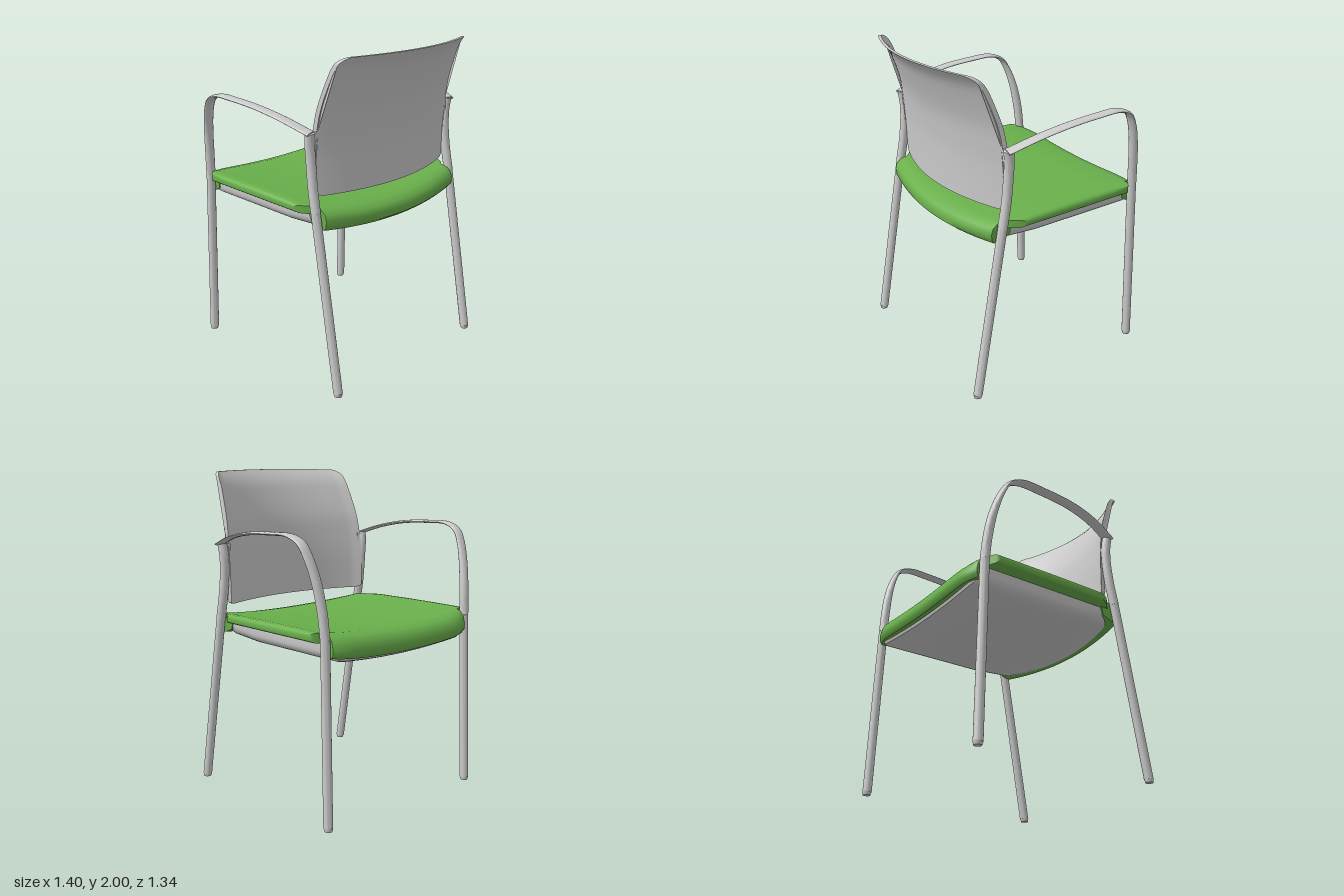
import * as THREE from 'three';
import { toCreasedNormals } from 'three/addons/utils/BufferGeometryUtils.js';

const V = (x, y, z) => new THREE.Vector3(x, y, z);
const clamp = THREE.MathUtils.clamp;
const grey = new THREE.MeshStandardMaterial({ color: 0xcccccc });
const green = new THREE.MeshStandardMaterial({ color: 0x6ab04c });

// Skin over closed loops of points, capped at both ends
function loft(sections, crease = 0.7) {
  const n = sections[0].length, m = sections.length, pos = [], idx = [];
  sections.forEach(s => s.forEach(p => pos.push(p.x, p.y, p.z)));
  for (let i = 0; i < m - 1; i++) {
    for (let j = 0; j < n; j++) {
      const a = i * n + j, d = i * n + (j + 1) % n;
      idx.push(a, a + n, d + n, a, d + n, d);
    }
  }
  for (const [i, flip] of [[0, false], [m - 1, true]]) {
    const c = pos.length / 3;
    const mid = sections[i].reduce((s, p) => s.add(p), V(0, 0, 0)).divideScalar(n);
    pos.push(mid.x, mid.y, mid.z);
    for (let j = 0; j < n; j++) {
      const a = i * n + j, b = i * n + (j + 1) % n;
      if (flip) idx.push(c, b, a); else idx.push(c, a, b);
    }
  }
  const g = new THREE.BufferGeometry();
  g.setAttribute('position', new THREE.Float32BufferAttribute(pos, 3));
  g.setIndex(idx);
  return toCreasedNormals(g, crease);
}

// Elliptical bar along a smooth path; size(t) gives [half width in x, half thickness]
function bar(points, size, steps) {
  const curve = new THREE.CatmullRomCurve3(points), sections = [];
  for (let i = 0; i <= steps; i++) {
    const t = i / steps, P = curve.getPointAt(t), T = curve.getTangentAt(t);
    const S = V(1, 0, 0).addScaledVector(T, -T.x).normalize();
    const N = S.clone().cross(T);
    const [w, h] = size(t);
    sections.push(Array.from({ length: 20 }, (_, k) => {
      const a = k / 20 * Math.PI * 2;
      return P.clone().addScaledVector(S, w * Math.cos(a)).addScaledVector(N, h * Math.sin(a));
    }));
  }
  return loft(sections);
}

// The seat sags towards its middle
const dip = x => 0.035 * Math.max(0, 1 - (x / 0.6) ** 2);

// Cushion: a thin slab rolled down at both ends, with narrower rolls between the legs
function cushionGeometry() {
  const profile = [
    [0.4, 1.128], [0.2, 1.136], [-0.1, 1.14], [-0.4, 1.14], [-0.56, 1.138], [-0.62, 1.125],
    [-0.655, 1.095], [-0.67, 1.05], [-0.668, 1.02], [-0.65, 1.0], [-0.6, 1.0], [-0.56, 1.02],
    [-0.55, 1.08], [0.3, 1.08], [0.33, 1.03], [0.42, 1.005], [0.49, 1.0], [0.515, 1.02],
    [0.522, 1.06], [0.505, 1.095], [0.46, 1.118]];
  const xs = [];
  for (let i = -16; i <= 16; i++) xs.push(i / 16 * 0.565);
  const roll = x => profile.map(([z, y]) => {
    const f = Math.abs(x / 0.565);
    if (z > 0.3) z -= 0.07 * f * f * (z - 0.3) / 0.2;
    if (z < -0.5) z += 0.05 * f ** 8 * (-0.5 - z) / 0.17;
    return V(x, y - dip(x), z);
  });
  // [x, height scale, front limit, rear limit] of the side flanges
  const rim = [[0.57, 1, -0.55, 0.35], [0.6, 1, -0.545, 0.32], [0.625, 0.95, -0.53, 0.28],
    [0.636, 0.7, -0.52, 0.26], [0.641, 0.3, -0.51, 0.25]];
  const flange = s => ([x, k, z0, z1]) => profile.map(([z, y]) =>
    V(s * x, 1.11 + (Math.max(y, 1.08) - 1.11) * k - dip(x), clamp(z, z0, z1)));
  return loft([...[...rim].reverse().map(flange(-1)), ...xs.map(roll), ...rim.map(flange(1))]);
}

// Shallow pan under the cushion with rounded edges
function panGeometry() {
  const sections = [];
  for (let i = 0; i <= 32; i++) {
    const u = -Math.cos(i / 32 * Math.PI), x = 0.56 * u;
    const e = Math.max(0, (Math.abs(x) - 0.48) / 0.08);
    const r = 1 - Math.sqrt(Math.max(0, 1 - e * e));
    const y0 = 0.975 - dip(x) + 0.055 * r, y1 = 1.09 - dip(x);
    const z0 = -0.625 + 0.07 * r, z1 = 0.48 - 0.1 * u * u - 0.06 * r;
    sections.push([[z1, y1], [z0, y1], [z0, y0 + 0.03], [z0 + 0.01, y0 + 0.008], [z0 + 0.03, y0],
      [0.1, y0], [z1 - 0.05, y0 + 0.018], [z1 - 0.01, y0 + 0.03], [z1, y0 + 0.05]]
      .map(([z, y]) => V(x, y, z)));
  }
  return loft(sections);
}

// Backrest: thin shell, hollow across its width and flaring away at the top
function backrestGeometry() {
  const spine = new THREE.SplineCurve([[1.18, 0.47], [1.4, 0.476], [1.55, 0.49], [1.7, 0.518],
    [1.88, 0.585], [1.95, 0.625], [2, 0.67]].map(p => new THREE.Vector2(...p)));
  const line = spine.getPoints(36);
  const zAt = y => {
    const k = clamp(line.findIndex(p => p.x >= y), 1, 36), a = line[k - 1], b = line[k];
    return a.y + (b.y - a.y) * (y - a.x) / (b.x - a.x);
  };
  const width = y => 0.565 - 0.045 * clamp((y - 1.5) / 0.5, 0, 1) ** 1.3;
  const sections = [], rows = 28;
  for (let i = 0; i <= 48; i++) {
    const u = Math.sin((i / 24 - 1) * Math.PI / 2);
    const e = Math.max(0, (Math.abs(u) - 0.9) / 0.1);
    const corner = 1 - Math.sqrt(Math.max(0, 1 - e * e));
    const yTop = 1.999 - 0.008 * u * u - 0.05 * corner, yBot = 1.18 + 0.02 * corner;
    const loop = [];
    const add = (v, thick) => {
      const y = yBot + (yTop - yBot) * v;
      loop.push(V(u * width(y), y, zAt(y) - 0.125 * u * u - thick));
    };
    for (let k = rows; k >= 0; k--) add(k / rows, 0.02 + 0.012 * e);
    for (let k = 0; k <= rows; k++) add(k / rows, 0);
    sections.push(loop);
  }
  return loft(sections);
}

export function createModel() {
  const model = new THREE.Group();
  const add = (name, geometry, material = grey) => {
    const mesh = new THREE.Mesh(geometry, material);
    mesh.name = name;
    model.add(mesh);
  };
  add('seatCushion', cushionGeometry(), green);
  add('seatPan', panGeometry());
  add('backrest', backrestGeometry());

  const round = r => () => [r, r];
  for (const [side, s] of [['left', 1], ['right', -1]]) {
    const path = pts => pts.map(([x, y, z]) => V(s * x, y, z));

    // Straight legs with small glides
    const legs = { backrestLeg: [[0.603, 0.02, 0.573], [0.594, 1.1, 0.387]],
      seatEdgeLeg: [[0.603, 0.02, -0.62], [0.594, 1.1, -0.587]] };
    for (const [name, pts] of Object.entries(legs)) {
      add(side + name, bar(path(pts), round(0.028), 1));
      const glide = new THREE.CylinderGeometry(0.027, 0.023, 0.022, 20);
      glide.translate(s * pts[0][0], 0.011, pts[0][2] + Math.sign(pts[0][2]) * 0.002);
      add(side + name + 'Glide', glide);
    }

    // Post carrying the backrest
    add(side + 'backrestPost', bar(path([[0.594, 1.1, 0.387], [0.59, 1.25, 0.36],
      [0.588, 1.4, 0.345], [0.593, 1.5, 0.343], [0.598, 1.565, 0.352]]), round(0.029), 16));
    const bracket = new THREE.BoxGeometry(0.05, 0.07, 0.025);
    bracket.translate(s * 0.572, 1.525, 0.35);
    add(side + 'backrestBracket', bracket);

    // Armrest: round upright flattening into a strip
    add(side + 'armrest', bar(path([[0.594, 1.1, -0.587], [0.603, 1.25, -0.575],
      [0.622, 1.42, -0.548], [0.642, 1.55, -0.507], [0.653, 1.625, -0.462], [0.659, 1.662, -0.38],
      [0.661, 1.664, -0.22], [0.659, 1.65, 0], [0.64, 1.615, 0.19], [0.603, 1.56, 0.365]]),
    t => {
      const k = THREE.MathUtils.smoothstep(t, 0.12, 0.48);
      return [0.029 + 0.008 * k, 0.028 - 0.018 * k];
    }, 60));
  }
  return model;
}
